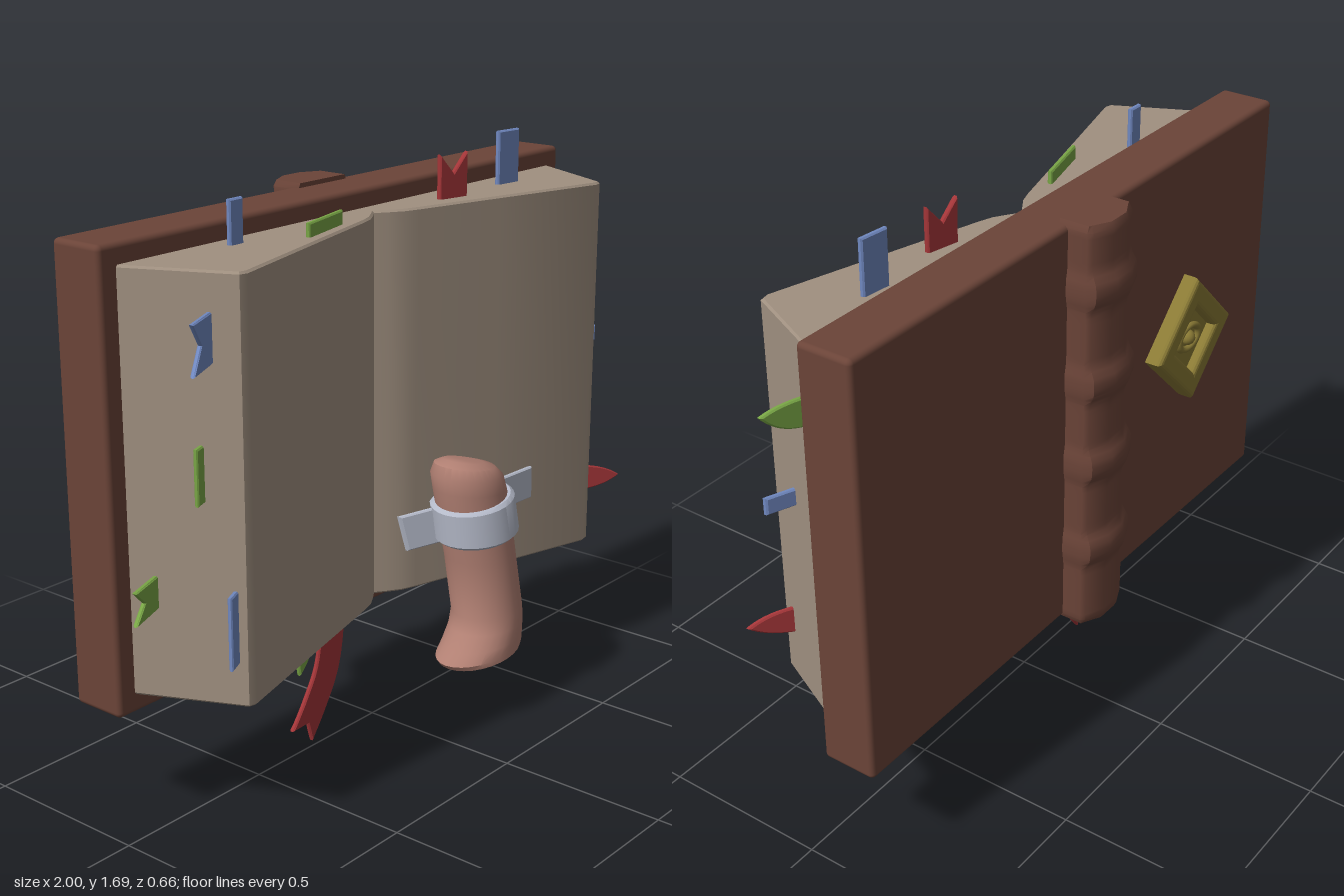
import * as THREE from 'three';
import { toCreasedNormals } from 'three/addons/utils/BufferGeometryUtils.js';
import { RoundedBoxGeometry } from 'three/addons/geometries/RoundedBoxGeometry.js';

const mat = (color) => new THREE.MeshStandardMaterial({ color });
const leather = mat(0x6b4438), paper = mat(0xa09080), skin = mat(0xb07f72), tape = mat(0xb4b9c8);
const blue = mat(0x7088c0), green = mat(0x78a545), red = mat(0xa33538), gold = mat(0x8a7a35);

const shapeOf = (pts) => new THREE.Shape(pts.map(([x, y]) => new THREE.Vector2(x, y)));

// Closed skin through rings of [x, y, z] points, from bottom to top
function loft(rings) {
  const n = rings[0].length, pos = rings.flat(2), idx = [];
  for (let i = 0; i < rings.length - 1; i++) {
    for (let j = 0; j < n; j++) {
      const a = i * n + j, b = i * n + (j + 1) % n, c = a + n, d = b + n;
      idx.push(a, c, b, b, c, d);
    }
  }
  [rings[0], rings.at(-1)].forEach((ring, end) => {
    const first = end ? (rings.length - 1) * n : 0, centre = pos.length / 3;
    pos.push(...[0, 1, 2].map((k) => ring.reduce((s, p) => s + p[k], 0) / n));
    for (let j = 0; j < n; j++) {
      const p = first + j, q = first + (j + 1) % n;
      idx.push(centre, end ? q : p, end ? p : q);
    }
  });
  const g = new THREE.BufferGeometry();
  g.setAttribute('position', new THREE.Float32BufferAttribute(pos, 3));
  g.setIndex(idx);
  return toCreasedNormals(g, 0.7);
}

// Thin piece cut from a shape, turned in its plane, with z rising by slope along x
function sheet(shape, turn = 0, slope = 0) {
  const g = new THREE.ExtrudeGeometry(shape, {
    depth: 0.008, bevelThickness: 0.004, bevelSize: 0.004, bevelOffset: -0.004, bevelSegments: 1,
  });
  g.translate(0, 0, -0.004).rotateZ(turn);
  const p = g.attributes.position;
  for (let i = 0; i < p.count; i++) p.setZ(i, p.getZ(i) + slope * p.getX(i));
  g.computeVertexNormals();
  return g;
}

// Marker outlines: width w, pointing along +y with length l
const strip = (w, l) => shapeOf([[-w / 2, 0], [w / 2, 0], [w / 2, l], [-w / 2, l]]);
const fork = (w, l) => shapeOf([[-w / 2, 0], [w / 2, 0], [w / 2, l], [0, l * 0.7], [-w / 2, l]]);
const leaf = (w, l, tip) => shapeOf([[-w / 2, 0], [w / 2, 0]])
  .quadraticCurveTo(w * 0.6, l * 0.65, w * tip, l)
  .quadraticCurveTo(-w * 0.6, l * 0.65, -w / 2, 0);

// Ribbon of constant width along a curve, with a forked end
function ribbonShape(curve, halfWidth) {
  const sides = [[], []];
  for (let i = 0; i <= 14; i++) {
    const p = curve.getPoint(i / 14), t = curve.getTangent(i / 14);
    sides.forEach((s, k) => {
      const w = k ? -halfWidth : halfWidth;
      s.push([p.x - t.y * w, p.y + t.x * w]);
    });
  }
  const notch = curve.getPoint(0.88);
  return shapeOf([...sides[0], [notch.x, notch.y], ...sides[1].reverse()]);
}

// Oval ring of the limb at height y; its axis leans forward towards the bottom
const limbRing = (y, cx, rx, rz = Math.min(rx, 0.106), tilt = 0.04 * (0.5 - y)) =>
  Array.from({ length: 28 }, (_, j) => {
    const a = j / 28 * Math.PI * 2;
    return [cx + rx * Math.cos(a), y + tilt * Math.cos(a), 0.25 - 0.1 * y + rz * Math.sin(a)];
  });

export function createModel() {
  const model = new THREE.Group();
  const add = (name, geometry, material, parent = model) => {
    const m = new THREE.Mesh(geometry, material);
    m.name = name;
    parent.add(m);
    return m;
  };

  // Cover board
  add('cover', new RoundedBoxGeometry(1.94, 1.25, 0.165, 3, 0.015), leather).position.set(0, 0.972, -0.128);

  // Spine with raised bands
  const spineRings = [];
  for (let i = 0; i <= 72; i++) {
    const y = 0.34 + 1.27 * i / 72;
    const r = [1.42, 1.14, 0.88, 0.6].reduce((s, b) => s + Math.exp(-(((y - b) / 0.045) ** 4)), 0);
    const inset = i % 72 ? 0 : 0.008;
    const w = 0.102 + 0.007 * r - inset, back = -0.308 - 0.018 * r + inset;
    const side = [[w, -0.18], [w, -0.27], [w - 0.01, back + 0.026], [0.035, back]];
    const outline = [...side.map(([x, z]) => [-x, z]), ...side.reverse()];
    spineRings.push(outline.map(([x, z]) => [x, y, z]));
  }
  add('spine', loft(spineRings), leather);

  // Open page block, extruded upwards from its plan
  const half = [[0.035, 0.025], [0.075, 0.05], [0.12, 0.065], [0.4, 0.14], [0.755, 0.236], [0.775, 0.232], [0.915, -0.06]];
  const plan = [...half.map(([x, z]) => [-x, z]).reverse(), [0, 0], ...half];
  const pages = new THREE.ExtrudeGeometry(shapeOf(plan.map(([x, z]) => [x, -z])), {
    depth: 1.13, bevelThickness: 0.006, bevelSize: 0.006, bevelSegments: 1,
  });
  pages.rotateX(-Math.PI / 2).translate(0, 0.406, 0);
  add('pages', toCreasedNormals(pages, 0.5), paper);

  // Page markers, each rooted inside the page block
  const markers = new THREE.Group();
  markers.name = 'markers';
  model.add(markers);
  const left = Math.PI / 2, right = -left, down = Math.PI;
  const marker = (name, material, shape, turn, slope, x, y, z) =>
    add(name + 'Marker', sheet(shape, turn, slope), material, markers).position.set(x, y, z);
  marker('topBlueNarrow', blue, strip(0.05, 0.18), 0, 0, -0.555, 1.48, 0.01);
  marker('topGreen', green, strip(0.19, 0.1), 0, -0.26, -0.285, 1.48, 0.075);
  marker('topRed', red, fork(0.1, 0.19), 0, 0.2, 0.295, 1.48, 0.052);
  marker('topBlueWide', blue, strip(0.09, 0.22), 0, 0.1, 0.585, 1.48, 0.035);
  marker('leftBlueForked', blue, fork(0.13, 0.17), left, -0.47, -0.76, 1.375, 0.14);
  marker('leftGreen', green, strip(0.15, 0.08), left, -0.38, -0.78, 1.025, 0.12);
  marker('leftGreenForked', green, fork(0.09, 0.16), left, -0.38, -0.84, 0.695, 0);
  marker('leftBlue', blue, strip(0.2, 0.065), left, -0.46, -0.77, 0.62, 0.2);
  marker('rightGreen', green, leaf(0.08, 0.15, -0.3), right, 0.33, 0.85, 1.345, 0.01);
  marker('rightBlue', blue, strip(0.05, 0.135), right, 0.37, 0.78, 1.035, 0.1);
  marker('rightRed', red, leaf(0.08, 0.155, 0), right, 0.68, 0.75, 0.59, 0.16);
  marker('bottomGreenLeft', green, leaf(0.075, 0.165, 0.4), down, 0, -0.347, 0.45, 0.045);
  marker('bottomGreenRight', green, leaf(0.07, 0.135, 0), down, 0, 0.495, 0.45, 0.045);

  // Hanging ribbon
  const path = [[-0.155, 0.45], [-0.157, 0.34], [-0.18, 0.22], [-0.235, 0.12], [-0.292, 0.04]];
  const ribbonCurve = new THREE.SplineCurve(path.map(([x, y]) => new THREE.Vector2(x, y)));
  add('ribbon', sheet(ribbonShape(ribbonCurve, 0.052)), red).position.z = -0.025;

  // Severed limb with a pointed foot
  add('limb', loft([
    limbRing(0.208, 0.225, 0.15), limbRing(0.222, 0.226, 0.163), limbRing(0.25, 0.245, 0.143),
    limbRing(0.29, 0.267, 0.12), limbRing(0.33, 0.276, 0.108), limbRing(0.5, 0.26, 0.108),
    limbRing(0.62, 0.245, 0.116), limbRing(0.71, 0.232, 0.116), limbRing(0.755, 0.223, 0.11),
    limbRing(0.785, 0.215, 0.09), limbRing(0.798, 0.21, 0.06),
  ]), skin);

  // Tape: band around the limb and two strips onto the pages
  add('tapeBand', loft([
    limbRing(0.565, 0.25, 0.115, 0.112, 0.015), limbRing(0.575, 0.25, 0.13, 0.124, 0.015),
    limbRing(0.675, 0.241, 0.13, 0.122, 0.018), limbRing(0.685, 0.24, 0.118, 0.112, 0.018),
  ]), tape);
  add('tapeStripRight', sheet(strip(0.1, 0.215), right + 0.03, 0.09), tape).position.set(0.32, 0.64, 0.165);
  add('tapeStripLeft', sheet(strip(0.11, 0.1), left + 0.2, 0.68), tape).position.set(0.16, 0.605, 0.13);

  // Diamond emblem on the back: plate, raised frame and a central eye
  const emblem = new THREE.Group();
  emblem.name = 'emblem';
  emblem.position.set(-0.505, 1.01, -0.205);
  emblem.rotation.y = Math.PI;
  model.add(emblem);
  const diamond = (r) => shapeOf([[r, 0], [0, r], [-r, 0], [0, -r]]);
  const frame = diamond(0.182);
  frame.holes.push(diamond(0.13));
  add('emblemFrame', new THREE.ExtrudeGeometry(frame, {
    depth: 0.043, bevelThickness: 0.014, bevelSize: 0.014, bevelSegments: 3,
  }), gold, emblem);
  add('emblemPlate', new THREE.ExtrudeGeometry(diamond(0.15), { depth: 0.026, bevelEnabled: false }), gold, emblem);
  const rim = add('emblemEyeRim', new THREE.TorusGeometry(0.045, 0.012, 8, 28), gold, emblem);
  rim.scale.set(1.2, 0.8, 1);
  rim.position.z = 0.028;
  add('emblemEye', new THREE.SphereGeometry(0.024, 16, 12), gold, emblem).position.z = 0.026;

  return model;
}
